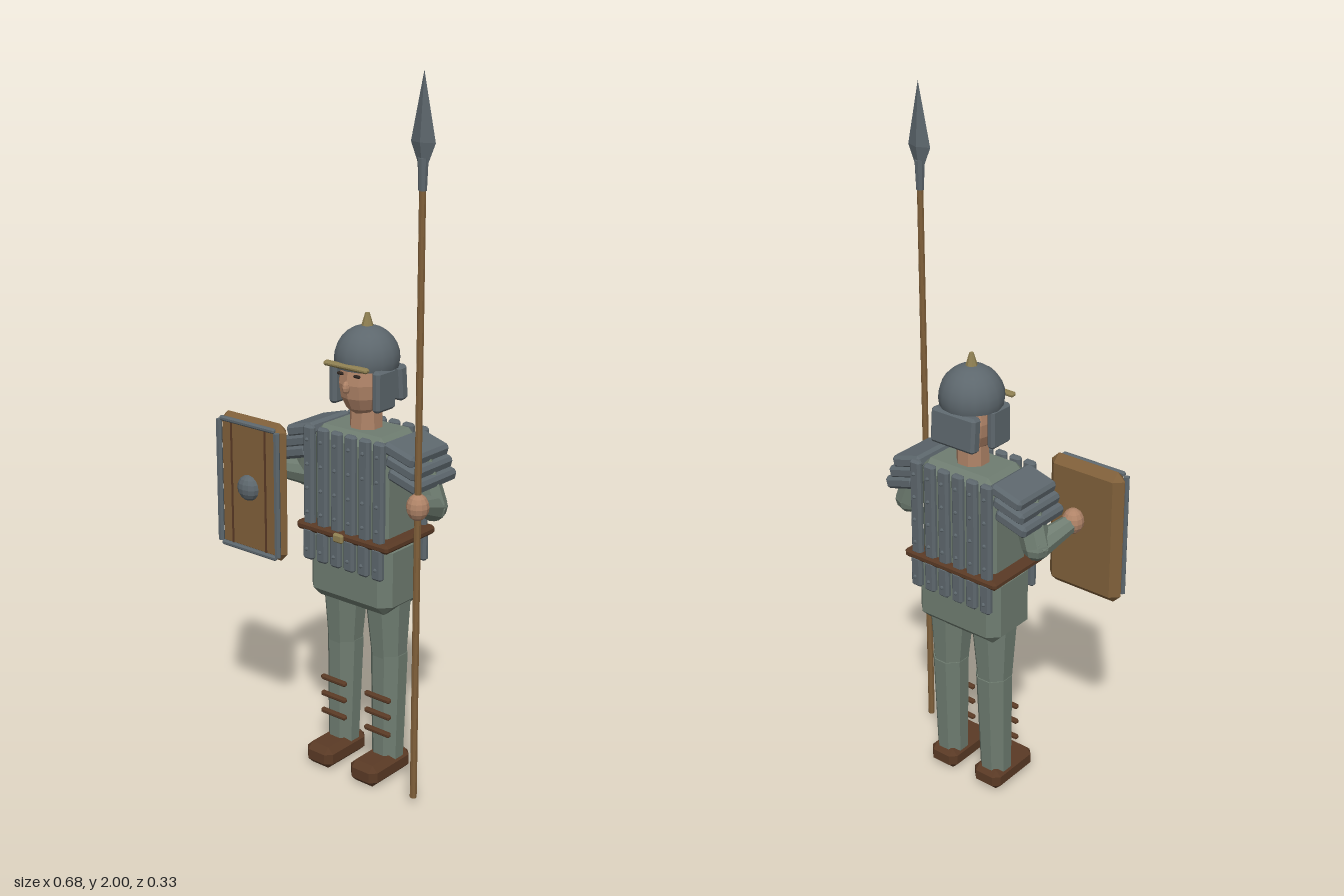
import * as THREE from 'three';
import { ConvexGeometry } from 'three/addons/geometries/ConvexGeometry.js';

const mat = (color) => new THREE.MeshStandardMaterial({ color, flatShading: true });
const M = {
  cloth: mat(0x6f7d71), steel: mat(0x5d676d), wood: mat(0x80603a), leather: mat(0x5a3a25),
  skin: mat(0xb08468), brass: mat(0x8f8052), dark: mat(0x2e2520),
};
const CX = 0.04, CZ = -0.05; // body axis

function add(parent, name, geo, material, x = 0, y = 0, z = 0) {
  const m = new THREE.Mesh(geo, material);
  m.name = name;
  m.position.set(x, y, z);
  parent.add(m);
  return m;
}

// Box with every edge cut by c
function chamferBox(w, h, d, c = Math.min(w, h, d) * 0.25) {
  const pts = [];
  for (const sx of [-1, 1]) for (const sy of [-1, 1]) for (const sz of [-1, 1]) {
    const x = w / 2, y = h / 2, z = d / 2;
    pts.push(
      new THREE.Vector3(sx * x, sy * (y - c), sz * (z - c)),
      new THREE.Vector3(sx * (x - c), sy * y, sz * (z - c)),
      new THREE.Vector3(sx * (x - c), sy * (y - c), sz * z));
  }
  return new ConvexGeometry(pts);
}

// Tapered faceted limb between two points
function limb(parent, name, a, b, ra, rb, material, sides = 8) {
  const A = new THREE.Vector3(...a), B = new THREE.Vector3(...b);
  const dir = B.clone().sub(A);
  const geo = new THREE.CylinderGeometry(rb, ra, dir.length(), sides);
  geo.rotateY(Math.PI / sides);
  const m = add(parent, name, geo, material);
  m.position.copy(A).add(B).multiplyScalar(0.5);
  m.quaternion.setFromUnitVectors(new THREE.Vector3(0, 1, 0), dir.normalize());
  return m;
}

function buildTorso(body) {
  add(body, 'tunic', chamferBox(0.26, 0.37, 0.18, 0.03), M.cloth, 0, 0.845, 0);
  add(body, 'tunicSkirt', chamferBox(0.29, 0.22, 0.18, 0.03), M.cloth, 0, 0.63, 0);
  add(body, 'belt', chamferBox(0.325, 0.026, 0.22, 0.008), M.leather, 0, 0.735, 0);
  add(body, 'buckle', chamferBox(0.035, 0.026, 0.014, 0.005), M.brass, 0, 0.735, 0.118);
  // Vertical armour strips, front and back
  const strip = chamferBox(0.037, 0.29, 0.022, 0.007);
  const tab = chamferBox(0.037, 0.095, 0.022, 0.007);
  const rivet = new THREE.SphereGeometry(0.006, 6, 4);
  for (const s of [1, -1]) {
    const side = new THREE.Group();
    side.name = s > 0 ? 'frontPlates' : 'backPlates';
    body.add(side);
    for (let i = 0; i < 6; i++) {
      const x = (i - 2.5) * 0.049;
      add(side, 'plateStrip', strip, M.steel, x, 0.885, s * 0.094);
      add(side, 'plateTab', tab, M.steel, x, 0.685, s * 0.098);
      for (const y of [0.99, 0.92, 0.85, 0.78]) add(side, 'rivet', rivet, M.steel, x, y, s * 0.106);
      add(side, 'rivet', rivet, M.steel, x, 0.67, s * 0.11);
    }
  }
}

function buildHead(body) {
  limb(body, 'neck', [0, 1.0, 0], [0, 1.1, 0], 0.047, 0.045, M.skin);
  const head = add(body, 'head', new THREE.SphereGeometry(1, 12, 8), M.skin, 0, 1.16, 0.005);
  head.scale.set(0.068, 0.1, 0.08);
  const nose = add(body, 'nose', new THREE.SphereGeometry(1, 8, 6), M.skin, 0, 1.155, 0.085);
  nose.scale.set(0.01, 0.018, 0.013);
  for (const s of [1, -1]) {
    add(body, 'eye', chamferBox(0.022, 0.008, 0.01, 0.003), M.dark, s * 0.028, 1.188, 0.074);
    add(body, 'cheekGuard', chamferBox(0.026, 0.115, 0.08, 0.008), M.steel, s * 0.075, 1.148, 0.018);
  }
  // Helmet
  const dome = new THREE.SphereGeometry(0.09, 16, 8, 0, Math.PI * 2, 0, Math.PI * 0.58);
  add(body, 'helmetDome', dome, M.steel, 0, 1.222, -0.003).material = M.domeSteel;
  const base = new THREE.CircleGeometry(0.087, 16).rotateX(Math.PI / 2);
  add(body, 'helmetBase', base, M.steel, 0, 1.2, -0.003);
  add(body, 'finial', new THREE.CylinderGeometry(0.006, 0.018, 0.04, 8), M.brass, 0, 1.325, -0.003);
  add(body, 'browBand', chamferBox(0.15, 0.014, 0.02, 0.005), M.brass, 0, 1.213, 0.085);
  const guard = add(body, 'neckGuard', chamferBox(0.15, 0.1, 0.035, 0.008), M.steel, 0, 1.148, -0.073);
  guard.rotation.x = 0.08;
}

function buildLeg(body, s) {
  const leg = new THREE.Group();
  leg.name = s > 0 ? 'leftLeg' : 'rightLeg';
  body.add(leg);
  limb(leg, 'thigh', [s * 0.08, 0.375, -0.008], [s * 0.075, 0.6, -0.005], 0.052, 0.071, M.cloth);
  limb(leg, 'shin', [s * 0.082, 0.05, -0.004], [s * 0.08, 0.38, -0.01], 0.046, 0.054, M.cloth);
  add(leg, 'boot', chamferBox(0.096, 0.066, 0.18, 0.018), M.leather, s * 0.082, 0.037, 0.03);
  for (const y of [0.145, 0.2, 0.252])
    add(leg, 'shinStrap', chamferBox(0.092, 0.016, 0.016, 0.005), M.leather, s * 0.081, y, 0.042);
}

function buildArm(body, s) {
  const arm = new THREE.Group();
  arm.name = s > 0 ? 'leftArm' : 'rightArm';
  body.add(arm);
  // Overlapping shoulder plates sloping outward
  for (let i = 0; i < 3; i++) {
    const plate = add(arm, 'shoulderPlate', chamferBox(0.105, 0.036, 0.166 + i * 0.007, 0.009),
      M.steel, s * (0.172 + i * 0.011), 1.0 - i * 0.034, 0);
    plate.rotation.z = -s * 0.28;
  }
  limb(arm, 'upperArm', [s * 0.18, 0.97, 0], [s * 0.225, 0.845, -0.01], 0.043, 0.04, M.cloth);
  add(arm, 'elbow', new THREE.SphereGeometry(0.04, 8, 6), M.cloth, s * 0.225, 0.845, -0.01);
  limb(arm, 'forearm', [s * 0.225, 0.843, -0.012], [s * 0.258, 0.88, 0.092], 0.038, 0.026, M.cloth);
  add(arm, 'hand', new THREE.SphereGeometry(0.031, 12, 8), M.skin, s * 0.261, 0.885, 0.106)
    .scale.set(1, 1.2, 1);
}

function buildShield(root) {
  const shield = new THREE.Group();
  shield.name = 'shield';
  shield.position.set(-0.225, 0.84, 0.115);
  root.add(shield);
  add(shield, 'shieldBoard', chamferBox(0.24, 0.4, 0.048, 0.023), M.wood);
  for (const s of [1, -1]) {
    add(shield, 'rimBar', chamferBox(0.205, 0.014, 0.014, 0.004), M.steel, 0, s * 0.185, 0.026);
    limb(shield, 'rimRod', [s * 0.108, -0.18, 0.026], [s * 0.108, 0.18, 0.026], 0.009, 0.009, M.steel, 6);
    add(shield, 'plankSeam', new THREE.BoxGeometry(0.006, 0.36, 0.006), M.leather, s * 0.063, 0, 0.023);
  }
  const boss = add(shield, 'shieldBoss', new THREE.SphereGeometry(0.037, 12, 8), M.steel, 0, 0, 0.024);
  boss.scale.z = 0.72;
}

function buildSpear(root) {
  const spear = new THREE.Group();
  spear.name = 'spear';
  spear.position.set(0.301, 0, 0.056);
  root.add(spear);
  limb(spear, 'spearShaft', [0, 0.03, 0], [0, 1.73, 0], 0.01, 0.009, M.wood);
  limb(spear, 'spearSocket', [0, 1.71, 0], [0, 1.79, 0], 0.011, 0.014, M.steel);
  // Flat four-sided blade
  const profile = [[0, 1.765], [0.013, 1.77], [0.038, 1.828], [0, 2]].map((p) => new THREE.Vector2(...p));
  add(spear, 'spearBlade', new THREE.LatheGeometry(profile, 4), M.steel).scale.z = 0.36;
}

export function createModel() {
  M.domeSteel = new THREE.MeshStandardMaterial({ color: 0x5d676d });
  const root = new THREE.Group();
  root.name = 'spearSoldier';
  const body = new THREE.Group();
  body.name = 'body';
  body.position.set(CX, 0, CZ);
  root.add(body);
  buildTorso(body);
  buildHead(body);
  for (const s of [1, -1]) {
    buildLeg(body, s);
    buildArm(body, s);
  }
  buildShield(root);
  buildSpear(root);
  return root;
}
